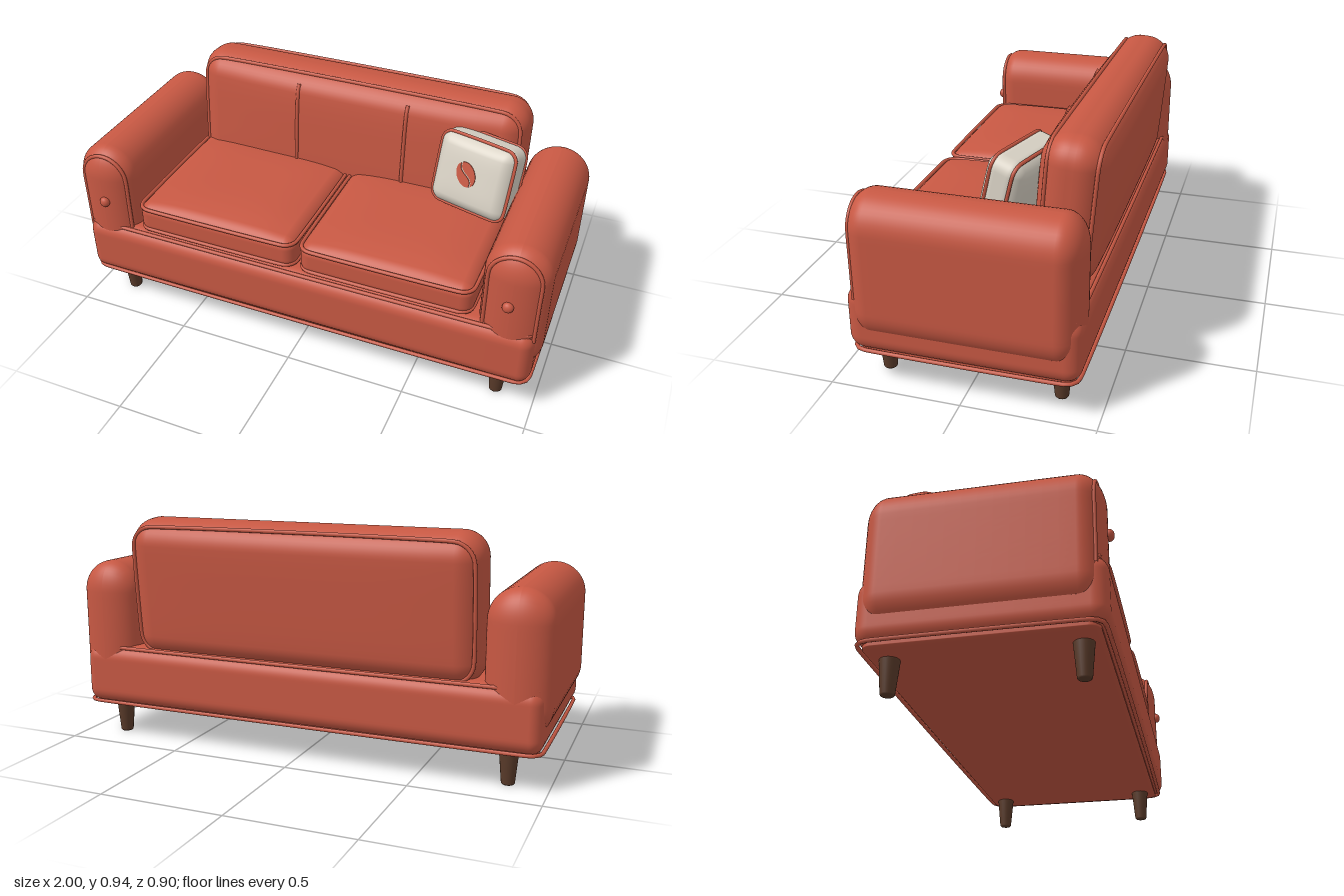
import * as THREE from 'three';
import { mergeVertices } from 'three/addons/utils/BufferGeometryUtils.js';

const mat = (name, color) => {
  const m = new THREE.MeshStandardMaterial({ color });
  m.name = name;
  return m;
};

// Box with elliptical rounded edges; optional bulge on the +z/-z or +y face.
function softBox(size, radii, bulge = {}) {
  const half = size.map((s) => s / 2);
  let geo = new THREE.BoxGeometry(2, 2, 2, 24, 24, 24);
  geo.deleteAttribute('uv');
  geo.deleteAttribute('normal');
  const pos = geo.attributes.position;
  const crown = (a, b) => (1 - a ** 4) * (1 - b ** 4);
  for (let i = 0; i < pos.count; i++) {
    const c = [pos.getX(i), pos.getY(i), pos.getZ(i)];
    // outer half of each axis bends round the corner, inner half stays straight
    const d = c.map((v) => Math.sign(v) * Math.tan(Math.max(0, Math.abs(v) * 2 - 1) * Math.PI / 4));
    const len = Math.hypot(...d);
    const p = c.map((v, k) => {
      const straight = THREE.MathUtils.clamp(v * 2, -1, 1) * (half[k] - radii[k]);
      return straight + (d[k] / len) * radii[k];
    });
    const u = p.map((v, k) => v / half[k]);
    if (p[1] > 0) p[1] += u[1] * (bulge.top || 0) * crown(u[0], u[2]);
    p[2] += u[2] * ((p[2] > 0 ? bulge.front : bulge.back) || 0) * crown(u[0], u[1]);
    pos.setXYZ(i, ...p);
  }
  geo = mergeVertices(geo, 1e-5);
  geo.computeVertexNormals();
  return geo;
}

// Closed cord following a rounded rectangle in the XY plane.
function pipingLoop(w, h, corner, r = 0.008) {
  const pts = [];
  const centres = [[1, 1], [-1, 1], [-1, -1], [1, -1]];
  centres.forEach(([sx, sy], q) => {
    for (let i = 0; i <= 6; i++) {
      const a = (q + i / 6) * Math.PI / 2;
      pts.push(new THREE.Vector3(
        sx * (w / 2 - corner) + corner * Math.cos(a),
        sy * (h / 2 - corner) + corner * Math.sin(a), 0));
    }
  });
  return new THREE.TubeGeometry(new THREE.CatmullRomCurve3(pts, true), 200, r, 8, true);
}

const cord = (points, segments, r = 0.008) => new THREE.TubeGeometry(
  new THREE.CatmullRomCurve3(points.map((p) => new THREE.Vector3(...p))), segments, r, 8);

export function createModel() {
  const model = new THREE.Group();
  model.name = 'sofa';
  const red = mat('terracotta upholstery', 0xc75843);
  const cream = mat('cream fabric', 0xd9d2c5);
  const wood = mat('dark wood', 0x5a3b2a);

  const add = (name, geo, material, p = [0, 0, 0], parent = model) => {
    const mesh = new THREE.Mesh(geo, material);
    mesh.name = name;
    mesh.position.set(...p);
    parent.add(mesh);
    return mesh;
  };
  const group = (name, p) => {
    const g = new THREE.Group();
    g.name = name;
    g.position.set(...p);
    model.add(g);
    return g;
  };
  const flatLoop = (name, w, d, corner, p) => {
    add(name, pipingLoop(w, d, corner), red, p).rotation.x = Math.PI / 2;
  };

  // Base with piping round its lower and upper edges
  add('base', softBox([1.955, 0.255, 0.868], [0.05, 0.06, 0.06]), red, [0, 0.2675, 0.004]);
  add('baseUnderside', softBox([1.91, 0.03, 0.81], [0.04, 0.008, 0.04]), red, [0, 0.145, 0]);
  flatLoop('baseLowerPiping', 1.945, 0.84, 0.05, [0, 0.148, 0]);
  flatLoop('baseUpperPiping', 1.93, 0.82, 0.03, [0, 0.387, 0.002]);

  // Tapered legs
  const legProfile = [[0, 0], [0.022, 0], [0.026, 0.005], [0.037, 0.125], [0.037, 0.14], [0, 0.14]]
    .map(([x, y]) => new THREE.Vector2(x, y));
  const legGeo = new THREE.LatheGeometry(legProfile, 24);

  // Parts that appear on both sides
  const armGeo = softBox([0.255, 0.565, 0.86], [0.127, 0.127, 0.09]);
  const seatGeo = softBox([0.715, 0.125, 0.66], [0.05, 0.035, 0.05], { top: 0.03 });
  const archPoints = [[-0.1, 0.355, 0], [-0.1, 0.42, 0], [-0.1, 0.52, 0]];
  for (let i = 0; i <= 10; i++) {
    const a = Math.PI * (1 - i / 10);
    archPoints.push([0.1 * Math.cos(a), 0.622 + 0.1 * Math.sin(a), 0]);
  }
  archPoints.push([0.1, 0.52, 0], [0.1, 0.42, 0], [0.1, 0.355, 0]);
  const archGeo = cord(archPoints, 80);
  const buttonGeo = new THREE.SphereGeometry(0.022, 20, 14).scale(1, 1, 0.8);

  for (const [side, s] of [['left', 1], ['right', -1]]) {
    add(side + 'Arm', armGeo, red, [s * 0.8725, 0.4675, 0]);
    add(side + 'ArmPiping', archGeo, red, [s * 0.868, 0, 0.398]);
    add(side + 'ArmButton', buttonGeo, red, [s * 0.862, 0.52, 0.434]);
    add(side + 'SeatCushion', seatGeo, red, [s * 0.367, 0.4575, 0.078]);
    flatLoop(side + 'SeatUpperPiping', 0.71, 0.655, 0.05, [s * 0.367, 0.51, 0.078]);
    flatLoop(side + 'SeatLowerPiping', 0.71, 0.655, 0.05, [s * 0.367, 0.412, 0.078]);
    for (const [end, z] of [['Front', 0.335], ['Back', -0.335]]) {
      add(side + end + 'Leg', legGeo, wood, [s * 0.843, 0, z]);
    }
  }

  // Leaning backrest with two edge cords and two vertical seams
  const back = group('backrest', [0, 0.65, -0.309]);
  back.rotation.x = -0.08;
  add('backCushion', softBox([1.48, 0.58, 0.23], [0.1, 0.1, 0.1], { front: 0.03, back: 0.012 }),
    red, [0, 0, 0], back);
  add('backFrontPiping', pipingLoop(1.425, 0.53, 0.085), red, [0, 0, 0.088], back);
  add('backRearPiping', pipingLoop(1.425, 0.53, 0.085), red, [0, 0, -0.092], back);
  const seamGeo = cord([[0, -0.2, 0.135], [0, -0.15, 0.143], [0, 0, 0.145], [0, 0.15, 0.143],
    [0, 0.2, 0.136], [0, 0.23, 0.124]], 40);
  for (const x of [-0.245, 0.245]) add('backSeam', seamGeo, red, [x, 0, 0], back);

  // Throw pillow resting in the left corner
  const pillow = group('throwPillow', [0.587, 0.703, -0.105]);
  pillow.rotation.set(-0.25, -0.27, 0, 'YXZ');
  add('pillowBody', softBox([0.34, 0.31, 0.13], [0.05, 0.05, 0.04], { front: 0.02, back: 0.02 }),
    cream, [0, 0, 0], pillow);
  for (const z of [-0.045, 0.045]) {
    add('pillowPiping', pipingLoop(0.332, 0.302, 0.045, 0.007), red, [0, 0, z], pillow);
  }

  // Bean motif: two thin half ovals with a curved gap between them
  const half = new THREE.Shape();
  half.moveTo(0, 0.052);
  half.absellipse(0, 0, 0.038, 0.052, Math.PI / 2, Math.PI * 1.5, false);
  half.bezierCurveTo(0.035, -0.015, -0.035, 0.015, 0, 0.052);
  const halfGeo = new THREE.ExtrudeGeometry(half, { depth: 0.007, bevelEnabled: false, curveSegments: 16 });
  const bean = new THREE.Group();
  bean.name = 'beanMotif';
  bean.position.set(-0.012, 0.01, 0.081);
  bean.rotation.z = 0.5;
  pillow.add(bean);
  add('beanHalf', halfGeo, red, [-0.003, 0, 0], bean);
  add('beanHalf', halfGeo, red, [0.003, 0, 0], bean).rotation.z = Math.PI;

  return model;
}
